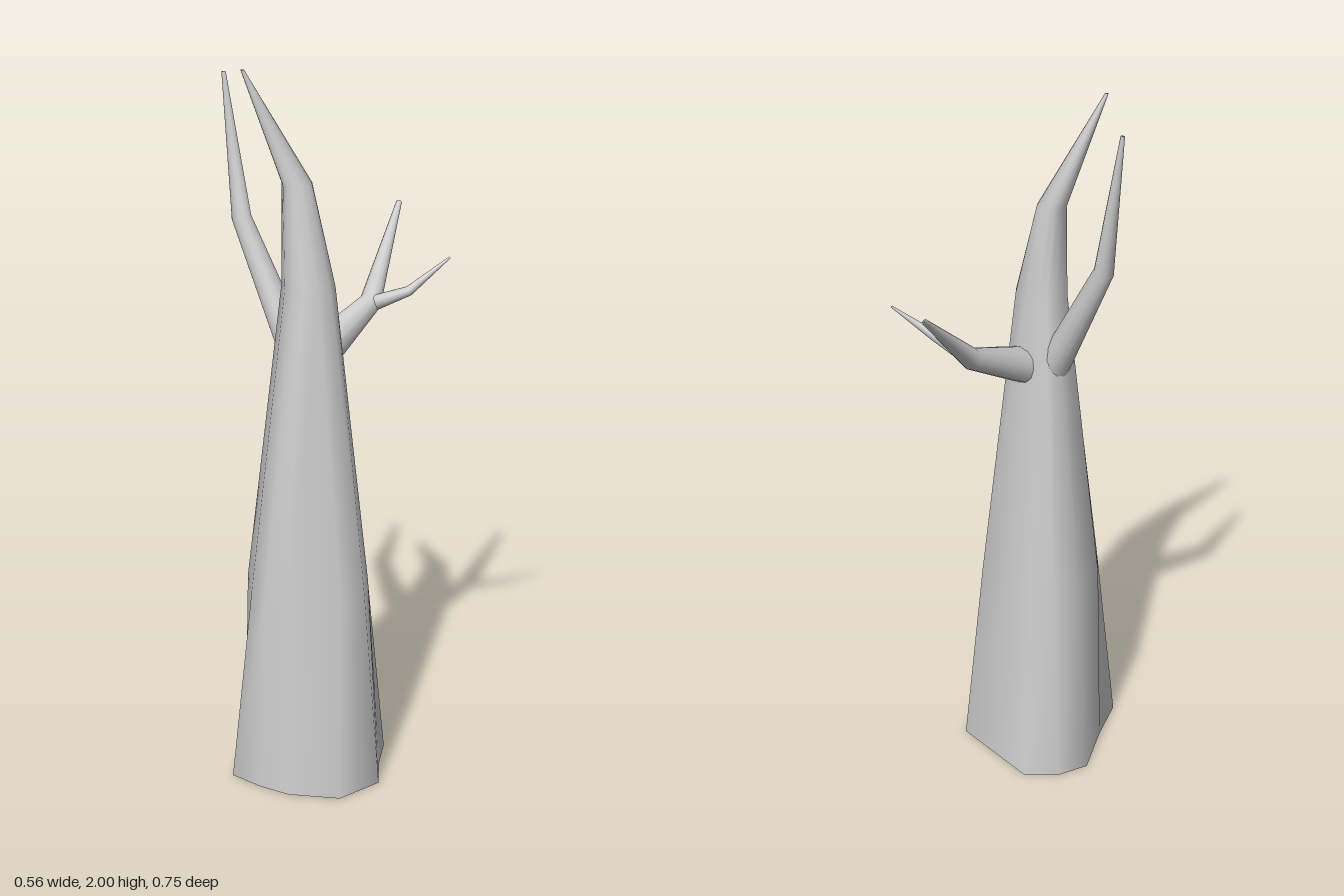
import * as THREE from 'three';

const bark = new THREE.MeshStandardMaterial({ color: 0xcccccc, side: THREE.DoubleSide });

// Skin a list of equal-length rings of Vector3, closing the last ring with a cap
function loft(name, rings) {
  const n = rings[0].length, last = (rings.length - 1) * n;
  const index = [];
  for (let r = 0; r < rings.length - 1; r++) {
    for (let i = 0; i < n; i++) {
      const a = r * n + i, b = r * n + (i + 1) % n;
      index.push(a, a + n, b, b, a + n, b + n);
    }
  }
  for (let i = 1; i < n - 1; i++) index.push(last, last + i + 1, last + i);
  const geometry = new THREE.BufferGeometry().setFromPoints(rings.flat());
  geometry.setIndex(index);
  geometry.computeVertexNormals();
  const mesh = new THREE.Mesh(geometry, bark);
  mesh.name = name;
  return mesh;
}

// Tapering limb through stations of [x, y, z, radius], mitred at each knee
function limb(name, stations, sides = 12) {
  const pts = stations.map(([x, y, z]) => new THREE.Vector3(x, y, z));
  const rings = pts.map((p, k) => {
    const before = pts[Math.max(k - 1, 0)], after = pts[Math.min(k + 1, pts.length - 1)];
    const d = new THREE.Vector3();
    if (k > 0) d.add(p.clone().sub(before).normalize());
    if (k < pts.length - 1) d.add(after.clone().sub(p).normalize());
    d.normalize();
    const u = new THREE.Vector3(1, 0, 0).addScaledVector(d, -d.x).normalize();
    const v = u.clone().cross(d);
    return Array.from({ length: sides }, (_, i) => {
      const t = i / sides * Math.PI * 2, r = stations[k][3];
      return p.clone().addScaledVector(u, r * Math.cos(t)).addScaledVector(v, r * Math.sin(t));
    });
  });
  return loft(name, rings);
}

export function createModel() {
  const tree = new THREE.Group();
  tree.name = 'bareTree';

  // Irregular trunk outlines [x, z]: at the ground and at the lower swell
  const foot = [[-0.135, -0.07], [0, -0.056], [0.15, -0.04], [0.205, 0.05], [0.28, 0.145], [0.255, 0.285],
    [0.13, 0.36], [0.035, 0.375], [-0.065, 0.375], [-0.135, 0.245], [-0.23, 0.095], [-0.205, 0]];
  const swell = [[-0.1, -0.01], [0.01, -0.004], [0.12, 0.005], [0.165, 0.055], [0.213, 0.13], [0.2, 0.215],
    [0.1, 0.335], [0.035, 0.345], [-0.03, 0.325], [-0.12, 0.24], [-0.168, 0.11], [-0.15, 0.03]];
  const flat = (outline, y) => outline.map(([x, z]) => new THREE.Vector3(x, y, z));
  // Upper rings are ellipses whose points follow the directions of the foot outline
  const oval = (x, y, z, rx, rz) => foot.map(([fx, fz]) => {
    const t = Math.atan2(fz - 0.15, fx - 0.02);
    return new THREE.Vector3(x + rx * Math.cos(t), y, z + rz * Math.sin(t));
  });
  tree.add(loft('trunk', [
    flat(foot, 0),
    flat(swell, 0.56),
    oval(0.036, 1.42, 0.155, 0.075, 0.071),
    oval(-0.01, 1.69, 0.147, 0.04, 0.043),
    oval(-0.099, 2, 0.259, 0.005, 0.005),
  ]));

  // Branches
  tree.add(limb('rightBranch', [[-0.012, 1.19, 0.14, 0.047], [-0.217, 1.56, 0.14, 0.028], [-0.274, 1.955, 0.141, 0.006]]));
  tree.add(limb('backBranch', [[0.033, 1.215, 0.1, 0.054], [0.028, 1.305, -0.118, 0.031], [-0.075, 1.525, -0.372, 0.008]]));
  tree.add(limb('backTwig', [[0.04, 1.305, -0.117, 0.022], [0.134, 1.35, -0.156, 0.014], [0.207, 1.44, -0.244, 0.003]]));
  return tree;
}
